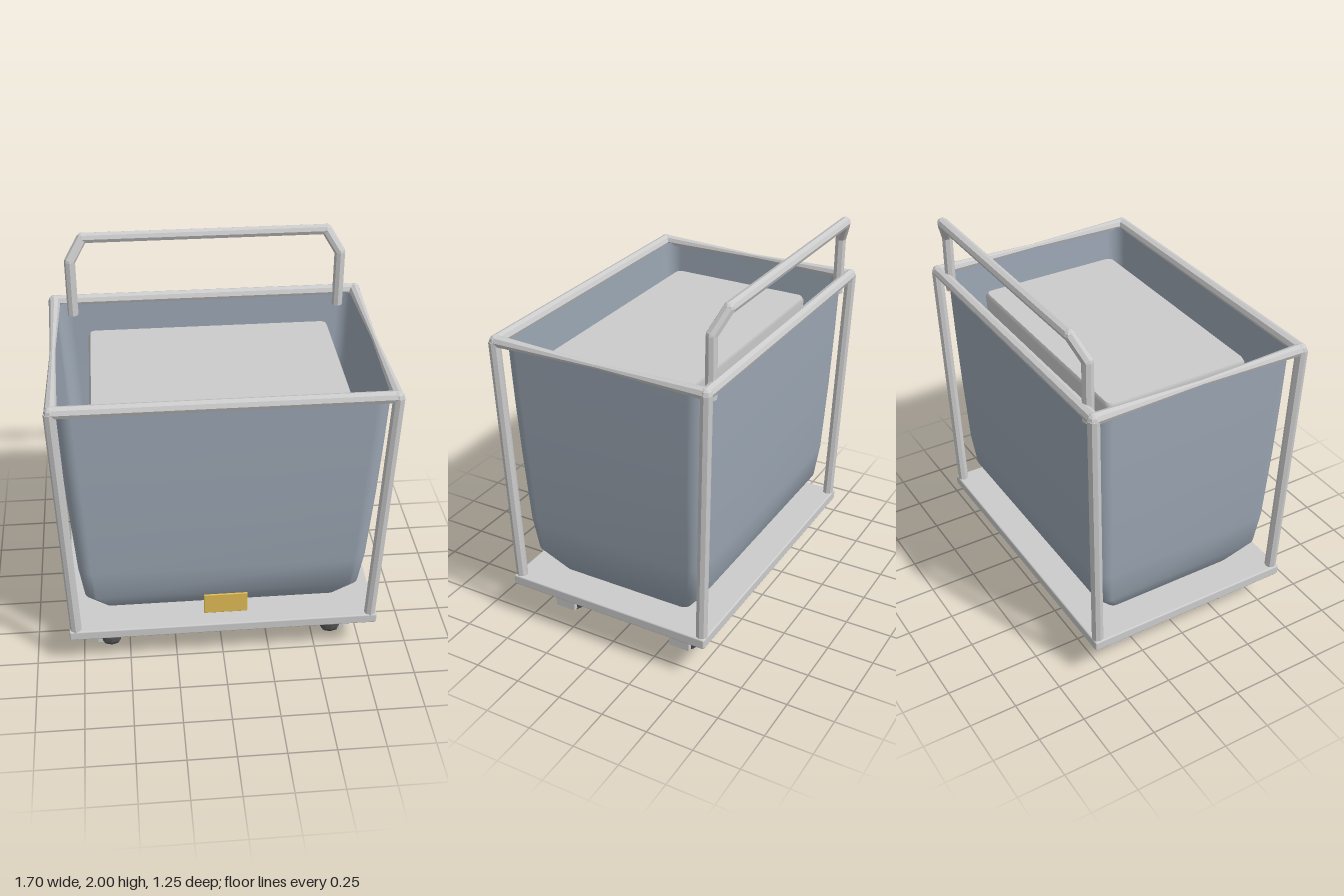
import * as THREE from 'three';
import { RoundedBoxGeometry } from 'three/addons/geometries/RoundedBoxGeometry.js';

const mat = (color, opts = {}) => new THREE.MeshStandardMaterial({ color, ...opts });
const grey = mat(0xcccccc);
const tubeGrey = mat(0xcccccc, { flatShading: true });
const cloth = mat(0x9ba6b3, { side: THREE.DoubleSide });
const rubber = mat(0x5a5a5a, { flatShading: true });
const gold = mat(0xe0bc55);

function add(parent, name, geometry, material, x = 0, y = 0, z = 0) {
  const mesh = new THREE.Mesh(geometry, material);
  mesh.name = name;
  mesh.position.set(x, y, z);
  parent.add(mesh);
  return mesh;
}

// Straight tube between two points, optionally tapering
function strut(parent, name, from, to, r0, r1 = r0) {
  const a = new THREE.Vector3(...from), b = new THREE.Vector3(...to);
  const dir = b.clone().sub(a);
  const mesh = add(parent, name, new THREE.CylinderGeometry(r1, r0, dir.length(), 8), tubeGrey);
  mesh.position.copy(a).add(b).multiplyScalar(0.5);
  mesh.quaternion.setFromUnitVectors(new THREE.Vector3(0, 1, 0), dir.normalize());
}

const joint = (parent, name, p, r) =>
  add(parent, name, new THREE.SphereGeometry(r, 8, 6), tubeGrey, ...p);

// Skin of rounded-rectangle sections [y, halfX, halfZ, cornerRadius]
function loft(sections, capBottom, capTop) {
  const pos = [], idx = [], steps = 6, n = 4 * (steps + 1);
  for (const [y, hx, hz, r] of sections) {
    for (let c = 0; c < 4; c++) {
      const sx = c === 0 || c === 3 ? 1 : -1, sz = c < 2 ? 1 : -1;
      for (let k = 0; k <= steps; k++) {
        const a = (c + k / steps) * Math.PI / 2;
        pos.push(sx * (hx - r) + r * Math.cos(a), y, sz * (hz - r) + r * Math.sin(a));
      }
    }
  }
  for (let s = 0; s < sections.length - 1; s++) {
    for (let i = 0; i < n; i++) {
      const a = s * n + i, b = s * n + (i + 1) % n;
      idx.push(a, a + n, b, b, a + n, b + n);
    }
  }
  // Caps get their own ring so that their edge stays sharp
  const cap = (s, up) => {
    const start = pos.length / 3;
    pos.push(...pos.slice(s * n * 3, (s + 1) * n * 3), 0, sections[s][0], 0);
    for (let i = 0; i < n; i++) {
      const a = start + i, b = start + (i + 1) % n;
      idx.push(start + n, up ? b : a, up ? a : b);
    }
  };
  if (capBottom) cap(0, false);
  if (capTop) cap(sections.length - 1, true);
  const g = new THREE.BufferGeometry();
  g.setAttribute('position', new THREE.Float32BufferAttribute(pos, 3));
  g.setIndex(idx);
  g.computeVertexNormals();
  return g;
}

function caster(parent, sx, sz) {
  const g = new THREE.Group();
  g.name = 'caster';
  g.position.set(sx * 0.6, 0, sz * 0.35);
  parent.add(g);
  // Wheel with a rounded tread
  const tread = [[0, -0.05], [0.07, -0.05], [0.092, -0.035], [0.1, 0], [0.092, 0.035], [0.07, 0.05], [0, 0.05]]
    .map(([r, y]) => new THREE.Vector2(r, y));
  add(g, 'wheel', new THREE.LatheGeometry(tread, 16), rubber, 0, 0.1, 0).rotation.z = Math.PI / 2;
  add(g, 'forkCrown', new THREE.BoxGeometry(0.15, 0.045, 0.15), grey, 0, 0.155, 0);
  add(g, 'forkPlate', new THREE.BoxGeometry(0.025, 0.11, 0.115), grey, sx * 0.06, 0.095, 0);
  add(g, 'swivel', new THREE.CylinderGeometry(0.05, 0.05, 0.04, 12), rubber, 0, 0.195, 0);
}

export function createModel() {
  const cart = new THREE.Group();
  cart.name = 'laundryCart';

  // Base and casters
  add(cart, 'basePlate', new RoundedBoxGeometry(1.63, 0.055, 1.14, 2, 0.008), grey, 0, 0.238, 0);
  for (const sx of [-1, 1]) for (const sz of [-1, 1]) caster(cart, sx, sz);

  // Corner posts and top rim
  const rimY = 1.622, rx = 0.815, rz = 0.572;
  for (const sz of [-1, 1]) {
    strut(cart, 'rimRail', [-rx, rimY, sz * rz], [rx, rimY, sz * rz], 0.031);
    for (const sx of [-1, 1]) {
      strut(cart, 'cornerPost', [sx * 0.78, 0.25, sz * 0.54], [sx * 0.82, rimY, sz * 0.576], 0.03);
      joint(cart, 'rimCorner', [sx * rx, rimY, sz * rz], 0.032);
      // Side rails narrow towards the middle
      strut(cart, 'sideRail', [sx * rx, rimY, sz * rz], [sx * rx, rimY, 0], 0.031, 0.014);
    }
  }

  // Push handle
  const path = [[0.72, 1.55, -0.545], [0.72, 1.86, -0.545], [0.65, 1.971, -0.592]];
  for (const sx of [-1, 1]) {
    const p = path.map(([x, y, z]) => [sx * x, y, z]);
    strut(cart, 'handlePost', p[0], p[1], 0.029);
    strut(cart, 'handleBend', p[1], p[2], 0.029);
    joint(cart, 'handleJoint', p[1], 0.029);
    joint(cart, 'handleJoint', p[2], 0.029);
  }
  strut(cart, 'handleBar', [-0.65, 1.971, -0.592], [0.65, 1.971, -0.592], 0.029);

  // Hanging cloth bag
  add(cart, 'bag', loft([
    [0.268, 0.63, 0.375, 0.04],
    [0.415, 0.725, 0.485, 0.06],
    [0.6, 0.75, 0.51, 0.07],
    [1.0, 0.777, 0.53, 0.08],
    [1.3, 0.792, 0.54, 0.08],
    [1.62, 0.805, 0.548, 0.08],
  ], true, false), cloth);

  // Contents filling the bag
  add(cart, 'load', loft([
    [0.29, 0.6, 0.35, 0.03],
    [1.51, 0.64, 0.395, 0.03],
    [1.53, 0.63, 0.385, 0.03],
  ], false, true), grey);

  // Blank tag on the front
  add(cart, 'tag', new RoundedBoxGeometry(0.225, 0.12, 0.01, 2, 0.004), gold, 0, 0.455, 0.62);

  return cart;
}
